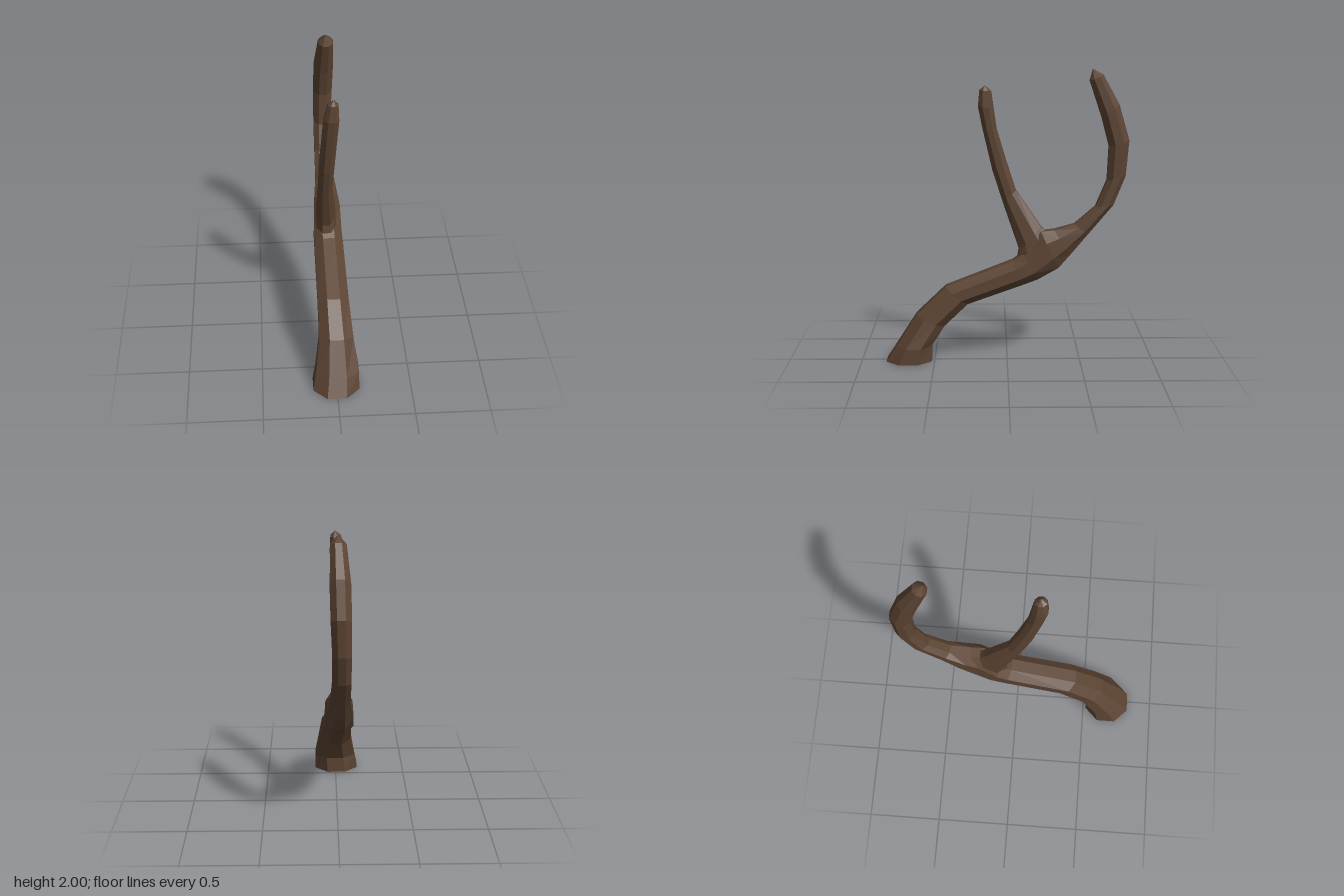
import * as THREE from 'three';

const SIDES = 8;

// Each ring: [upper z, upper y, lower z, lower y, min x, max x]; the tip is [x, y, z].
function loft(name, rings, tip, material) {
  const k = 1 / Math.cos(Math.PI / SIDES);
  const loops = rings.map(([uz, uy, lz, ly, x0, x1]) =>
    Array.from({ length: SIDES }, (_, i) => {
      const a = ((i + 0.5) / SIDES) * Math.PI * 2;
      const c = Math.cos(a) * k, s = Math.sin(a) * k;
      return [
        (x0 + x1) / 2 + (s * (x1 - x0)) / 2,
        (uy + ly) / 2 + (c * (uy - ly)) / 2,
        (uz + lz) / 2 + (c * (uz - lz)) / 2,
      ];
    }));
  const pos = [];
  const tri = (...pts) => pts.forEach((p) => pos.push(...p));
  const [z0, y0, z1, y1, xa, xb] = rings[0];
  const start = [(xa + xb) / 2, (y0 + y1) / 2, (z0 + z1) / 2];
  const last = loops[loops.length - 1];
  for (let i = 0; i < SIDES; i++) {
    const j = (i + 1) % SIDES;
    tri(start, loops[0][j], loops[0][i]);
    for (let r = 0; r + 1 < loops.length; r++) {
      const a = loops[r], b = loops[r + 1];
      tri(a[i], a[j], b[j]);
      tri(a[i], b[j], b[i]);
    }
    tri(last[i], last[j], tip);
  }
  const geo = new THREE.BufferGeometry();
  geo.setAttribute('position', new THREE.Float32BufferAttribute(pos, 3));
  geo.computeVertexNormals();
  const mesh = new THREE.Mesh(geo, material);
  mesh.name = name;
  return mesh;
}

export function createModel() {
  const bark = new THREE.MeshStandardMaterial({ color: 0x5c4433, flatShading: true });
  const group = new THREE.Group();
  group.name = 'forkedBranch';

  // Main limb: flared foot, sloping middle, upturned end
  group.add(loft('mainLimb', [
    [0.83, 0, 0.52, 0, -0.16, 0.15],
    [0.76, 0.11, 0.52, 0.11, -0.14, 0.15],
    [0.62, 0.33, 0.43, 0.25, -0.11, 0.12],
    [0.42, 0.52, 0.27, 0.40, -0.11, 0.10],
    [-0.04, 0.70, -0.10, 0.53, -0.11, 0.09],
    [-0.11, 0.75, -0.21, 0.57, -0.11, 0.085],
    [-0.23, 0.90, -0.35, 0.65, -0.10, 0.08],
    [-0.32, 0.91, -0.43, 0.74, -0.095, 0.07],
    [-0.46, 0.95, -0.55, 0.88, -0.08, 0.05],
    [-0.60, 1.07, -0.72, 1.08, -0.08, 0.04],
    [-0.675, 1.25, -0.80, 1.28, -0.08, 0.04],
    [-0.685, 1.48, -0.82, 1.52, -0.08, 0.05],
    [-0.635, 1.67, -0.75, 1.76, -0.075, 0.055],
    [-0.55, 1.92, -0.64, 1.96, -0.05, 0.05],
  ], [0, 2, -0.57], bark));

  // Side limb rising from the fork
  group.add(loft('sideLimb', [
    [-0.06, 0.66, -0.33, 0.82, -0.09, 0.05],
    [-0.08, 0.78, -0.23, 0.93, -0.09, 0.04],
    [0.03, 1.10, -0.06, 1.18, -0.085, 0.01],
    [0.10, 1.32, 0.005, 1.38, -0.08, 0.02],
    [0.165, 1.60, 0.07, 1.60, -0.065, 0.035],
    [0.195, 1.75, 0.09, 1.74, -0.055, 0.045],
    [0.185, 1.86, 0.105, 1.85, -0.03, 0.04],
  ], [0.01, 1.89, 0.145], bark));

  return group;
}
